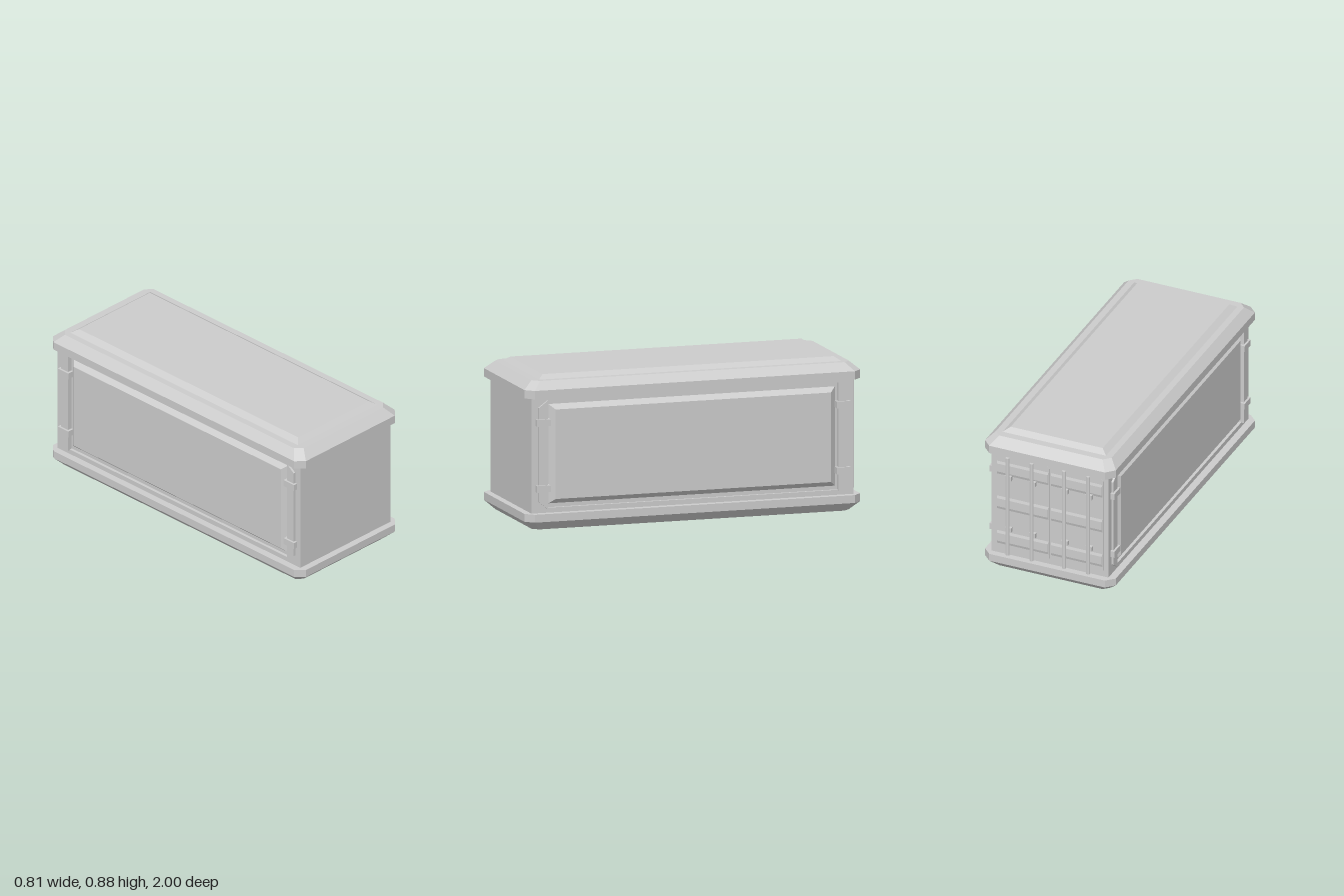
import * as THREE from 'three';

const grey = new THREE.MeshStandardMaterial({ color: 0xcccccc, flatShading: true });

// Skin a stack of chamfered rectangles [halfX, halfZ, cornerCut, y]
function loft(sections) {
  const rings = sections.map(([hx, hz, c, y]) => [
    [hx, hz - c], [hx, c - hz], [hx - c, -hz], [c - hx, -hz],
    [-hx, c - hz], [-hx, hz - c], [c - hx, hz], [hx - c, hz],
  ].map(([x, z]) => [x, y, z]));
  const pos = [];
  const tri = (a, b, c) => pos.push(...a, ...b, ...c);
  for (let r = 0; r < rings.length - 1; r++) {
    const a = rings[r], b = rings[r + 1];
    for (let i = 0; i < 8; i++) {
      const j = (i + 1) % 8;
      tri(a[i], a[j], b[j]);
      tri(a[i], b[j], b[i]);
    }
  }
  // End caps
  const lo = rings[0], hi = rings[rings.length - 1];
  for (let i = 1; i < 7; i++) {
    tri(lo[0], lo[i + 1], lo[i]);
    tri(hi[0], hi[i], hi[i + 1]);
  }
  const g = new THREE.BufferGeometry();
  g.setAttribute('position', new THREE.Float32BufferAttribute(pos, 3));
  g.computeVertexNormals();
  return g;
}

function add(parent, name, geometry, x = 0, y = 0, z = 0) {
  const m = new THREE.Mesh(geometry, grey);
  m.name = name;
  m.position.set(x, y, z);
  parent.add(m);
  return m;
}

const box = (w, h, d) => new THREE.BoxGeometry(w, h, d);

// One long side, built facing +x
function makeSide() {
  const side = new THREE.Group();

  // Wall with a sunken rectangular field
  const rect = (path, u, v0, v1) => path.setFromPoints([
    [-u, v0], [u, v0], [u, v1], [-u, v1], [-u, v0],
  ].map(([a, b]) => new THREE.Vector2(a, b)));
  const wall = rect(new THREE.Shape(), 0.96, 0.09, 0.78);
  wall.holes.push(rect(new THREE.Path(), 0.866, 0.123, 0.739));
  const wallGeo = new THREE.ExtrudeGeometry(wall, { depth: 0.0225, bevelEnabled: false });
  wallGeo.rotateY(Math.PI / 2);
  add(side, 'sideWall', wallGeo, 0.34, 0, 0);

  // Raised panel with bevelled edges, standing in the sunken field
  add(side, 'sidePanel', loft([[0.285, 0.853, 0, 0.33], [0.285, 0.853, 0, 0.346], [0.257, 0.82, 0, 0.377]]), 0, 0.43, 0)
    .rotation.z = -Math.PI / 2;

  for (const s of [1, -1]) {
    // Corner post with clipped outer ends
    const shape = new THREE.Shape([
      [0.866, 0.118], [0.92, 0.16], [0.92, 0.70], [0.866, 0.74],
    ].map(([u, v]) => new THREE.Vector2(-s * u, v)));
    const post = new THREE.ExtrudeGeometry(shape, { depth: 0.035, bevelEnabled: false });
    post.rotateY(Math.PI / 2);
    add(side, 'cornerPost', post, 0.34, 0, 0);
    for (const y of [0.236, 0.615]) {
      add(side, 'bracket', box(0.04, 0.038, 0.083), 0.367, y, s * 0.893);
    }
  }
  return side;
}

// Double door on the back end
function makeDoors() {
  const doors = new THREE.Group();
  doors.name = 'rearDoors';
  for (const s of [1, -1]) {
    add(doors, 'doorLeaf', loft([[0.164, 0.312, 0.018, 0], [0.164, 0.312, 0.018, 0.004]]), s * 0.167, 0.427, -0.96)
      .rotation.x = -Math.PI / 2;
    // Pressed horizontal ribs
    for (const y of [0.2, 0.427, 0.655]) {
      add(doors, 'doorRib', loft([[0.16, 0.045, 0, 0], [0.157, 0.026, 0, 0.006]]), s * 0.167, y, -0.963)
        .rotation.x = -Math.PI / 2;
    }
    // Locking rods and their clamps
    for (const x of [0.1, 0.25]) {
      add(doors, 'lockRod', new THREE.CylinderGeometry(0.012, 0.012, 0.637, 8), s * x, 0.428, -0.988);
      for (const y of [0.27, 0.607]) {
        add(doors, 'rodClamp', box(0.04, 0.028, 0.026), s * x, y, -0.972);
      }
    }
  }
  return doors;
}

export function createModel() {
  const model = new THREE.Group();
  model.name = 'container';

  add(model, 'body', box(0.69, 0.72, 1.92), 0, 0.45, 0);

  // Base rim, with a sunken floor underneath
  add(model, 'baseRim', loft([
    [0.29, 0.885, 0, 0.065], [0.33, 0.92, 0, 0], [0.355, 0.945, 0.035, 0],
    [0.405, 1, 0.047, 0.05], [0.405, 1, 0.047, 0.095],
  ]));

  // Roof cap with raised centre
  add(model, 'roofCap', loft([
    [0.405, 1, 0.047, 0.758], [0.405, 1, 0.047, 0.806], [0.358, 0.945, 0.038, 0.853],
  ]));
  add(model, 'roofPlate', loft([[0.32, 0.9, 0, 0.85], [0.32, 0.9, 0, 0.853], [0.285, 0.867, 0, 0.877]]));

  const left = makeSide(), right = makeSide();
  left.name = 'leftSide';
  right.name = 'rightSide';
  right.rotation.y = Math.PI;
  model.add(left, right, makeDoors());
  return model;
}
